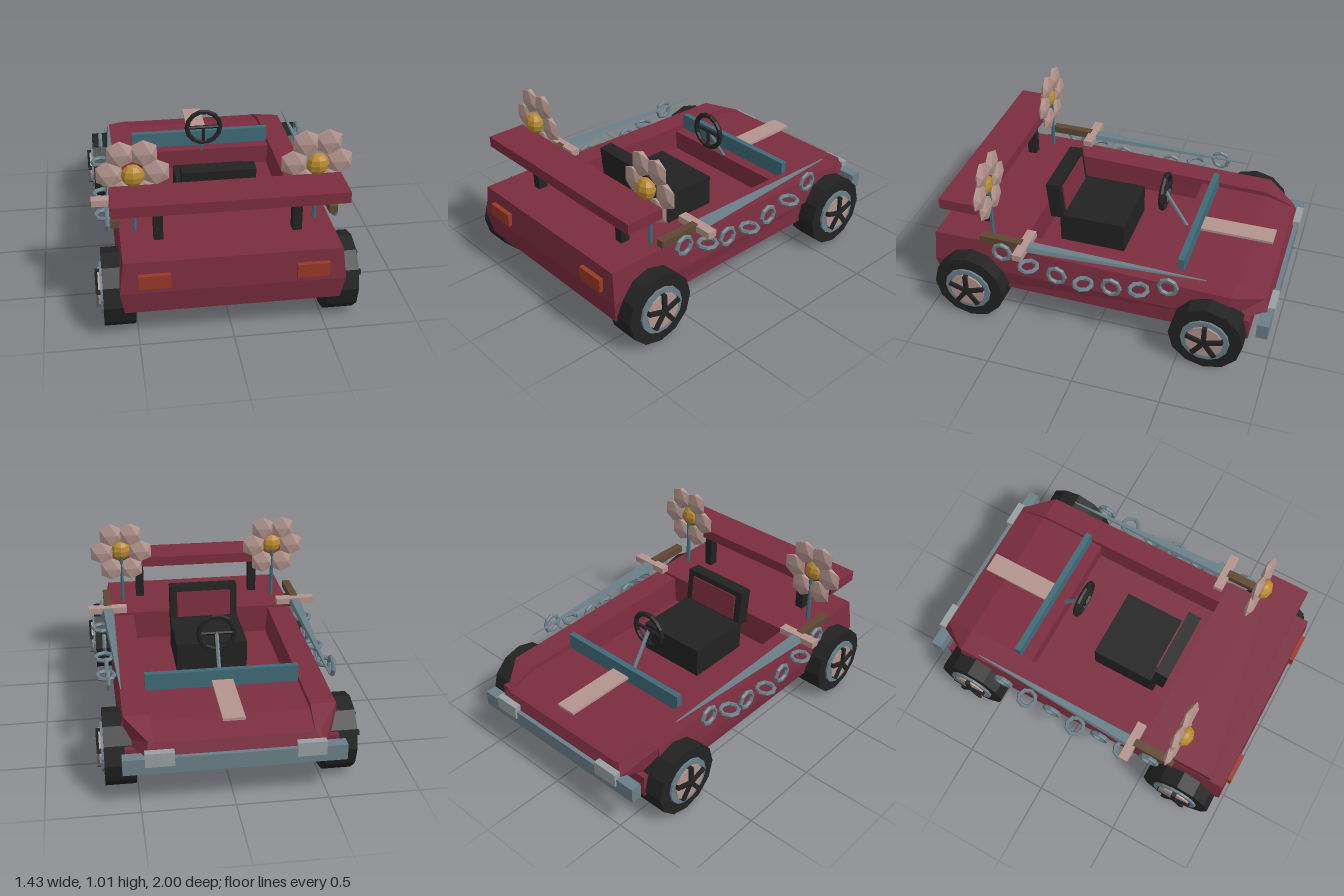
import * as THREE from 'three';

const mat = (name, color) => {
  const m = new THREE.MeshStandardMaterial({ color });
  m.name = name;
  return m;
};

// Faceted normals for a low-poly look
function flat(geo) {
  const g = geo.index ? geo.toNonIndexed() : geo;
  g.computeVertexNormals();
  return g;
}

// Six-sided block from four edges along x, each given as [x0, x1, y, z]
function hexa(backBottom, backTop, frontBottom, frontTop) {
  const g = new THREE.BoxGeometry(1, 1, 1);
  const p = g.attributes.position;
  for (let i = 0; i < p.count; i++) {
    const top = p.getY(i) > 0;
    const e = p.getZ(i) > 0 ? (top ? backTop : backBottom) : (top ? frontTop : frontBottom);
    p.setXYZ(i, p.getX(i) > 0 ? e[1] : e[0], e[2], e[3]);
  }
  return flat(g);
}

// Box from its limits
function box(x0, x1, y0, y1, z0, z1) {
  return new THREE.BoxGeometry(x1 - x0, y1 - y0, z1 - z0)
    .translate((x0 + x1) / 2, (y0 + y1) / 2, (z0 + z1) / 2);
}

// Rod between two points
function rod(a, b, r, sides = 6) {
  const va = new THREE.Vector3(...a), vb = new THREE.Vector3(...b);
  const d = vb.clone().sub(va);
  const g = new THREE.CylinderGeometry(r, r, d.length(), sides);
  g.applyQuaternion(new THREE.Quaternion().setFromUnitVectors(new THREE.Vector3(0, 1, 0), d.normalize()));
  return flat(g.translate(...va.add(vb).multiplyScalar(0.5).toArray()));
}

export function createModel() {
  const red = mat('body red', 0x7b2d3f);
  const black = mat('rubber black', 0x222222);
  const steel = mat('steel grey', 0x6a7f88);
  const teal = mat('teal', 0x3f6a78);
  const pink = mat('dusty pink', 0xb3948d);
  const gold = mat('gold', 0xb88a30);
  const brown = mat('grip brown', 0x5f4733);
  const orange = mat('tail light orange', 0x983827);
  const pale = mat('head light grey', 0x98a0a2);

  const model = new THREE.Group();
  model.name = 'car';
  const add = (name, geo, material, parent = model) => {
    const m = new THREE.Mesh(geo, material);
    m.name = name;
    parent.add(m);
    return m;
  };

  // Body: lower hull, rear deck, hood with sloping nose
  const W = 0.57, M = 0.592;
  add('lowerHull', hexa([-W, W, 0.18, 0.96], [-M, M, 0.31, 0.98],
    [-W, W, 0.18, -0.88], [-W, W, 0.31, -0.88]), red);
  add('rearDeck', hexa([-M, M, 0.31, 0.98], [-W, W, 0.49, 0.97],
    [-M, M, 0.31, 0.45], [-W, W, 0.49, 0.45]), red);
  add('hood', hexa([-0.435, 0.435, 0.3, -0.365], [-0.435, 0.435, 0.43, -0.365],
    [-0.435, 0.435, 0.3, -0.78], [-0.435, 0.435, 0.42, -0.78]), red);
  add('nose', hexa([-0.44, 0.44, 0.3, -0.78], [-0.44, 0.44, 0.42, -0.78],
    [-0.46, 0.46, 0.3, -0.97], [-0.43, 0.43, 0.38, -0.945]), red);
  add('hoodStripe', box(-0.06, 0.06, 0.455, 0.47, -0.9, -0.475), pink);
  add('windBoard', box(-0.43, 0.43, 0.42, 0.525, -0.47, -0.435), teal);

  // Bumper and spoiler
  add('frontBumper', box(-0.59, 0.59, 0.225, 0.315, -0.99, -0.925), steel);
  add('spoiler', box(-0.615, 0.615, 0.71, 0.772, 0.67, 0.895), red);

  // Seat
  add('seatCushion', box(-0.21, 0.21, 0.31, 0.492, -0.055, 0.34), black);
  const back = new THREE.Group();
  back.name = 'seatBack';
  back.position.set(0, 0.47, 0.35);
  back.rotation.x = 0.1;
  model.add(back);
  add('seatBackShell', box(-0.207, 0.207, 0, 0.225, -0.03, 0.05), black, back);
  add('seatBackPad', box(-0.165, 0.165, 0.03, 0.19, -0.039, -0.03), red, back);

  // Steering wheel
  const hub = [0, 0.645, -0.24];
  add('steeringColumn', rod([0, 0.42, -0.38], hub, 0.012), steel);
  add('steeringRim', flat(new THREE.TorusGeometry(0.102, 0.015, 6, 14).translate(...hub)), black);
  for (const a of [0, Math.PI, -Math.PI / 2])
    add('steeringSpoke', rod(hub, [0.1 * Math.cos(a), 0.645 + 0.1 * Math.sin(a), -0.24], 0.011), black);

  for (const s of [1, -1]) {
    const span = (a, b) => (s > 0 ? [a, b] : [-b, -a]);
    const sbox = (x0, x1, ...r) => box(...span(x0, x1), ...r);
    const edge = (x0, x1, y, z) => [...span(x0, x1), y, z];

    // Side rail and tapering front fender
    add('sideRail', hexa(edge(0.42, M, 0.31, 0.45), edge(0.43, W, 0.475, 0.45),
      edge(0.42, M, 0.31, -0.77), edge(0.43, W, 0.448, -0.77)), red);
    add('frontFender', hexa(edge(0.42, W, 0.31, -0.77), edge(0.43, W, 0.448, -0.77),
      edge(0.42, 0.47, 0.31, -0.97), edge(0.42, 0.45, 0.385, -0.94)), red);

    add('spoilerPost', sbox(0.345, 0.395, 0.48, 0.715, 0.71, 0.765), black);
    add('tailLight', sbox(0.328, 0.497, 0.345, 0.422, 0.96, 1.0), orange);
    add('headLight', sbox(0.32, 0.475, 0.27, 0.35, -1.0, -0.96), pale);

    // Wheels with rim, hub disc and five spokes
    for (const z of [0.743, -0.663]) {
      const wheel = new THREE.Group();
      wheel.name = z > 0 ? 'rearWheel' : 'frontWheel';
      wheel.position.set(0, 0.21, z);
      model.add(wheel);
      const disc = (name, r, x0, x1, n, m) => add(name,
        flat(new THREE.CylinderGeometry(r, r, x1 - x0, n).rotateZ(Math.PI / 2)
          .translate(s * (x0 + x1) / 2, 0, 0)), m, wheel);
      disc('tyre', 0.21, 0.51, 0.677, 12, black);
      disc('rim', 0.138, 0.66, 0.69, 14, steel);
      disc('hubDisc', 0.105, 0.68, 0.7, 14, pink);
      for (let i = 0; i < 5; i++) {
        const spoke = sbox(0.69, 0.714, 0, 0.108, -0.013, 0.013);
        add('wheelSpoke', spoke.rotateX(i * Math.PI * 2 / 5), black, wheel);
      }
    }

    // Flower: stem, six faceted petals, centre
    const fx = s * 0.487, fy = 0.83;
    add('flowerStem', rod([fx, 0.48, 0.645], [fx, 0.8, 0.645], 0.012), teal);
    for (let i = 0; i < 6; i++) {
      const a = i * Math.PI / 3;
      const petal = new THREE.IcosahedronGeometry(0.08, 0).rotateY(Math.PI / 2).scale(1, 1, 0.33);
      petal.translate(fx + 0.122 * Math.cos(a), fy + 0.13 * Math.sin(a), 0.645);
      add('petal', flat(petal), pink);
    }
    add('flowerCentre', flat(new THREE.SphereGeometry(0.062, 8, 6).scale(1, 1, 0.75)
      .translate(fx, fy, 0.67)), gold);

    // Sword lying along the rail
    add('swordGrip', sbox(0.568, 0.614, 0.522, 0.565, 0.42, 0.67), brown);
    add('swordGuard', sbox(0.475, 0.71, 0.522, 0.56, 0.38, 0.435), pink);
    const blade = hexa(edge(0.555, 0.632, 0.528, 0.4), edge(0.565, 0.622, 0.556, 0.4),
      edge(0.566, 0.572, 0.536, -0.63), edge(0.567, 0.571, 0.54, -0.63));
    add('swordBlade', blade, steel);

    // Hanging chain of alternating upright and flat links
    for (let i = 0; i < 7; i++) {
      const t = (i - 3) / 3;
      const link = new THREE.TorusGeometry(0.051, 0.013, 6, 8);
      if (i % 2) link.rotateX(Math.PI / 2);
      else link.rotateY(Math.PI / 2);
      link.translate(s * (i % 2 ? 0.638 : 0.628), 0.39 + 0.1 * t * t, 0.05 - 0.483 * t);
      add('chainLink', flat(link), steel);
    }
  }
  return model;
}
